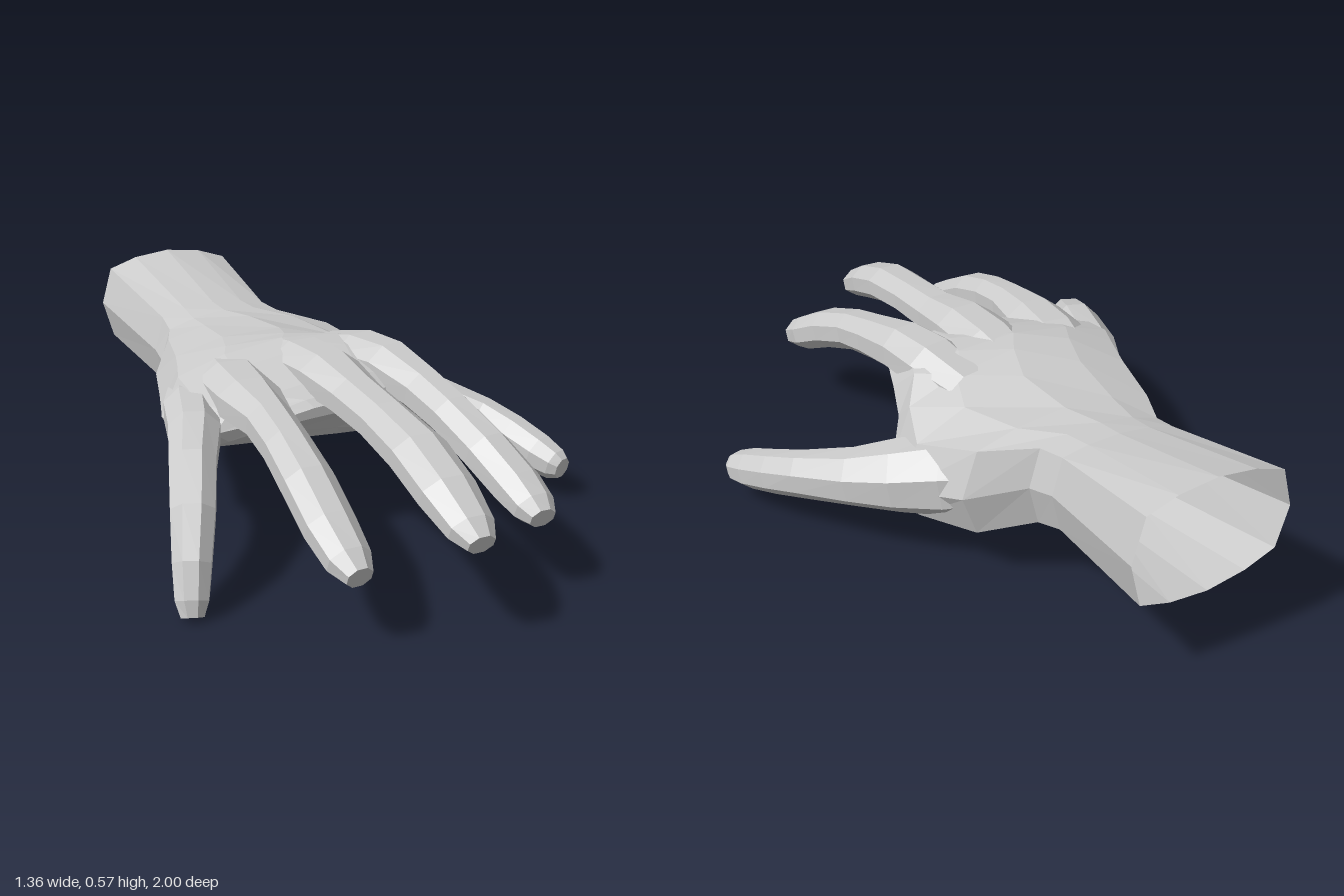
import * as THREE from 'three';

const material = new THREE.MeshStandardMaterial({ color: 0xcccccc, flatShading: true, side: THREE.DoubleSide });

// Skin between successive rings of points; the last ring is closed with a fan.
function loft(name, rings) {
  const n = rings[0].length;
  const pos = rings.flat().flatMap((p) => [p.x, p.y, p.z]);
  const index = [];
  for (let r = 0; r < rings.length - 1; r++) {
    for (let i = 0; i < n; i++) {
      const j = (i + 1) % n, a = r * n, b = a + n;
      index.push(a + i, a + j, b + i, a + j, b + j, b + i);
    }
  }
  const last = rings[rings.length - 1];
  const centre = last.reduce((s, p) => s.add(p), new THREE.Vector3()).divideScalar(n);
  pos.push(centre.x, centre.y, centre.z);
  const base = (rings.length - 1) * n;
  for (let i = 0; i < n; i++) index.push(base + i, base + ((i + 1) % n), base + n);

  const geo = new THREE.BufferGeometry();
  geo.setAttribute('position', new THREE.Float32BufferAttribute(pos, 3));
  geo.setIndex(index);
  geo.computeVertexNormals();
  const mesh = new THREE.Mesh(geo, material);
  mesh.name = name;
  return mesh;
}

// Eight-sided digit along a path of [x, y, z, half width, half height].
function digit(name, path) {
  const pts = path.map((p) => new THREE.Vector3(p[0], p[1], p[2]));
  const up = new THREE.Vector3(0, 1, 0);
  const rings = path.map(([, , , w, h], k) => {
    const t = pts[Math.min(k + 1, pts.length - 1)].clone().sub(pts[Math.max(k - 1, 0)]).normalize();
    const side = up.clone().cross(t).normalize();
    const normal = t.clone().cross(side);
    return Array.from({ length: 8 }, (_, i) => {
      const a = ((i + 0.5) * Math.PI) / 4;
      return pts[k].clone()
        .addScaledVector(side, Math.cos(a) * w * 1.08)
        .addScaledVector(normal, Math.sin(a) * h * 1.08);
    });
  });
  return loft(name, rings);
}

// Curve through the right, middle and left heights of a section.
function arch(right, middle, left, u) {
  const s = 2 * u - 1;
  return middle + ((left - right) / 2) * s + ((left + right) / 2 - middle) * s * s;
}

// Ring of the arm and palm, running from the thumb side over the back of the hand.
function palmRing([z, x0, x1, topR, topM, topL, botR, botM, botL]) {
  const across = [0.93, 0.74, 0.5, 0.26, 0.07];
  const at = (u, y) => new THREE.Vector3(x0 + (x1 - x0) * u, y, z);
  return [
    at(1, (topL + botL) / 2),
    ...across.map((u) => at(u, arch(topR, topM, topL, u))),
    at(0, (topR + botR) / 2),
    ...across.slice().reverse().map((u) => at(u, arch(botR, botM, botL, u))),
  ];
}

export function createModel() {
  const hand = new THREE.Group();
  hand.name = 'hand';

  // Open wrist widening into the palm, thinning toward the finger webs
  hand.add(loft('wristAndPalm', [
    [-1, -0.335, 0.145, 0.51, 0.57, 0.51, 0.31, 0.235, 0.28],
    [-0.6, -0.295, 0.11, 0.44, 0.48, 0.45, 0.25, 0.195, 0.25],
    [-0.52, -0.305, 0.13, 0.42, 0.473, 0.44, 0.25, 0.185, 0.23],
    [-0.41, -0.365, 0.27, 0.42, 0.475, 0.40, 0.24, 0.175, 0.16],
    [-0.22, -0.425, 0.36, 0.42, 0.485, 0.33, 0.24, 0.165, 0.13],
    [-0.1, -0.465, 0.32, 0.42, 0.505, 0.38, 0.24, 0.175, 0.15],
    [-0.03, -0.49, 0.265, 0.42, 0.515, 0.45, 0.245, 0.2, 0.24],
    [0.06, -0.49, 0.235, 0.41, 0.5, 0.46, 0.26, 0.26, 0.32],
    [0.12, -0.475, 0.215, 0.395, 0.48, 0.45, 0.27, 0.3, 0.345],
    [0.2, -0.425, 0.185, 0.38, 0.455, 0.43, 0.31, 0.35, 0.37],
    [0.255, -0.27, 0.09, 0.4, 0.43, 0.41, 0.36, 0.37, 0.375],
    [0.28, -0.24, 0.06, 0.39, 0.41, 0.40, 0.37, 0.38, 0.385],
  ].map(palmRing)));

  // Fingers, each with a broad knuckle rising out of the back of the hand
  hand.add(digit('littleFinger', [
    [-0.37, 0.355, -0.12, 0.06, 0.06],
    [-0.425, 0.36, 0.03, 0.075, 0.07],
    [-0.478, 0.355, 0.19, 0.07, 0.066],
    [-0.532, 0.315, 0.31, 0.062, 0.06],
    [-0.58, 0.235, 0.425, 0.058, 0.055],
    [-0.616, 0.13, 0.5, 0.05, 0.048],
    [-0.635, 0.05, 0.54, 0.043, 0.038],
    [-0.641, 0.012, 0.556, 0.03, 0.024],
  ]));
  hand.add(digit('ringFinger', [
    [-0.27, 0.41, -0.12, 0.08, 0.06],
    [-0.295, 0.415, 0.03, 0.1, 0.072],
    [-0.312, 0.415, 0.18, 0.09, 0.068],
    [-0.32, 0.405, 0.33, 0.064, 0.06],
    [-0.33, 0.38, 0.46, 0.062, 0.058],
    [-0.34, 0.335, 0.6, 0.066, 0.058],
    [-0.345, 0.27, 0.73, 0.065, 0.055],
    [-0.345, 0.222, 0.83, 0.056, 0.047],
    [-0.343, 0.2, 0.883, 0.034, 0.03],
  ]));
  hand.add(digit('middleFinger', [
    [-0.08, 0.435, -0.12, 0.08, 0.06],
    [-0.075, 0.455, 0.03, 0.1, 0.066],
    [-0.068, 0.455, 0.18, 0.094, 0.068],
    [-0.063, 0.435, 0.33, 0.075, 0.06],
    [-0.065, 0.42, 0.5, 0.072, 0.056],
    [-0.07, 0.395, 0.68, 0.078, 0.057],
    [-0.075, 0.345, 0.83, 0.075, 0.055],
    [-0.075, 0.295, 0.94, 0.06, 0.044],
    [-0.075, 0.273, 0.988, 0.036, 0.028],
  ]));
  hand.add(digit('indexFinger', [
    [0.08, 0.425, -0.12, 0.08, 0.055],
    [0.115, 0.445, 0.03, 0.095, 0.07],
    [0.14, 0.445, 0.16, 0.082, 0.07],
    [0.16, 0.415, 0.32, 0.066, 0.062],
    [0.17, 0.385, 0.45, 0.064, 0.058],
    [0.187, 0.33, 0.6, 0.067, 0.058],
    [0.207, 0.27, 0.72, 0.067, 0.054],
    [0.212, 0.238, 0.79, 0.057, 0.045],
    [0.212, 0.222, 0.832, 0.036, 0.028],
  ]));

  // Thumb growing out of the mound at the side of the palm
  hand.add(digit('thumb', [
    [0.08, 0.3, -0.42, 0.07, 0.08],
    [0.22, 0.265, -0.26, 0.115, 0.11],
    [0.335, 0.24, -0.16, 0.105, 0.095],
    [0.43, 0.218, -0.075, 0.082, 0.077],
    [0.53, 0.185, 0.055, 0.062, 0.066],
    [0.578, 0.156, 0.15, 0.06, 0.061],
    [0.613, 0.125, 0.245, 0.057, 0.056],
    [0.635, 0.106, 0.305, 0.045, 0.046],
    [0.643, 0.1, 0.33, 0.03, 0.032],
  ]));

  return hand;
}
